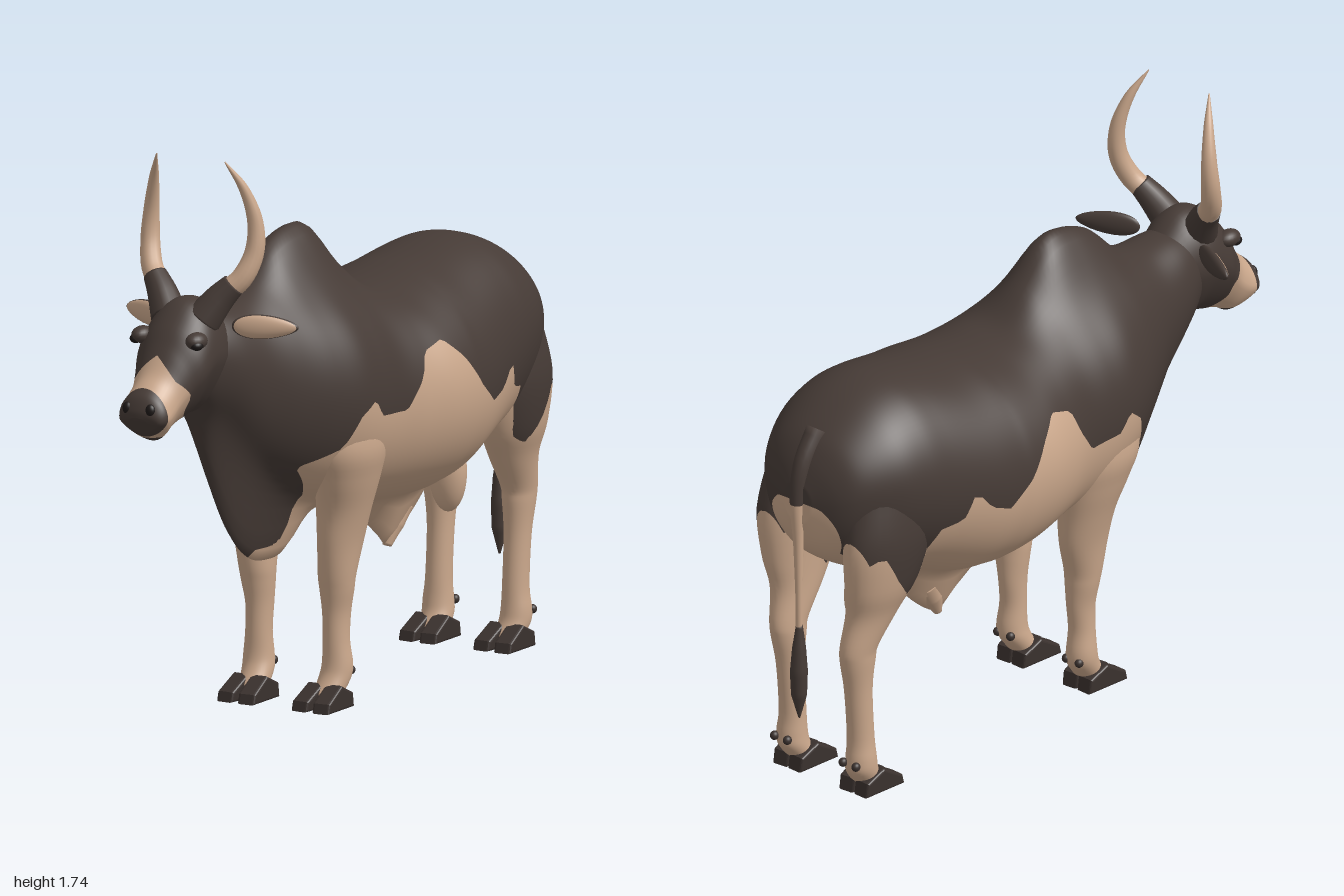
import * as THREE from 'three';

const mat = (name, color) => Object.assign(new THREE.MeshStandardMaterial({ color }), { name });
const V = (x, y, z) => new THREE.Vector3(x, y, z);

// Catmull-Rom smoothing of rows of numbers
function smooth(rows, steps) {
  const out = [], at = i => rows[Math.max(0, Math.min(rows.length - 1, i))];
  for (let i = 0; i < rows.length - 1; i++)
    for (let k = 0; k < steps; k++) {
      const t = k / steps, a = at(i - 1), b = at(i), c = at(i + 1), d = at(i + 2);
      out.push(b.map((_, j) => b[j] + 0.5 * t * (c[j] - a[j] +
        t * (2 * a[j] - 5 * b[j] + 4 * c[j] - d[j] + t * (3 * (b[j] - c[j]) + d[j] - a[j])))));
    }
  out.push(at(rows.length - 1));
  return out;
}

// Closed skin over a list of rings, with a fan at each end
function loft(rings) {
  const n = rings[0].length, pts = rings.flat(), idx = [];
  for (let i = 0; i < rings.length - 1; i++)
    for (let j = 0; j < n; j++) {
      const a = i * n + j, b = i * n + (j + 1) % n, c = a + n, d = b + n;
      idx.push(a, b, c, b, d, c);
    }
  [0, rings.length - 1].forEach((r, end) => {
    const mid = V(0, 0, 0);
    rings[r].forEach(p => mid.addScaledVector(p, 1 / n));
    const m = pts.push(mid) - 1;
    for (let j = 0; j < n; j++) {
      const a = r * n + j, b = r * n + (j + 1) % n;
      idx.push(...(end ? [a, b, m] : [b, a, m]));
    }
  });
  const g = new THREE.BufferGeometry().setFromPoints(pts);
  g.setIndex(idx);
  g.computeVertexNormals();
  return g;
}

const ring = (n, f) => Array.from({ length: n }, (_, j) => {
  const a = j / n * Math.PI * 2;
  return f(Math.cos(a), Math.sin(a));
});

// Tapered tube along a curve
function taper(points, radii, n = 14, steps = 28) {
  const curve = new THREE.CatmullRomCurve3(points), fr = curve.computeFrenetFrames(steps);
  return loft(Array.from({ length: steps + 1 }, (_, i) => {
    const p = curve.getPointAt(i / steps), q = i / steps * (radii.length - 1);
    const k = Math.min(Math.floor(q), radii.length - 2);
    const r = THREE.MathUtils.lerp(radii[k], radii[k + 1], q - k);
    return ring(n, (c, s) => p.clone().addScaledVector(fr.normals[i], r * c).addScaledVector(fr.binormals[i], r * s));
  }));
}

// Cuts every triangle along rule = 0: group 0 where positive, group 1 where negative
function paint(geo, rule) {
  const P = geo.attributes.position, N = geo.attributes.normal, I = geo.index;
  const sides = [[], []];
  for (let t = 0; t < I.count; t += 3) {
    const tri = [0, 1, 2].map(k => {
      const i = I.getX(t + k), p = V().fromBufferAttribute(P, i);
      return { p, n: V().fromBufferAttribute(N, i), f: rule(p.x, p.y, p.z) };
    });
    [1, -1].forEach((sgn, side) => {
      const poly = [];
      tri.forEach((a, k) => {
        const b = tri[(k + 1) % 3], ina = a.f * sgn > 0 || (a.f === 0 && side === 0);
        const inb = b.f * sgn > 0 || (b.f === 0 && side === 0);
        if (ina) poly.push(a);
        if (ina !== inb) {
          const u = a.f / (a.f - b.f);
          poly.push({ p: a.p.clone().lerp(b.p, u), n: a.n.clone().lerp(b.n, u).normalize() });
        }
      });
      for (let k = 1; k + 1 < poly.length; k++) sides[side].push(poly[0], poly[k], poly[k + 1]);
    });
  }
  const all = [...sides[0], ...sides[1]], g = new THREE.BufferGeometry();
  g.setAttribute('position', new THREE.Float32BufferAttribute(all.flatMap(v => v.p.toArray()), 3));
  g.setAttribute('normal', new THREE.Float32BufferAttribute(all.flatMap(v => v.n.toArray()), 3));
  g.addGroup(0, sides[0].length, 0);
  g.addGroup(sides[0].length, sides[1].length, 1);
  return g;
}

// Mirror across x, keeping faces outward
function mirror(geo) {
  const g = geo.index ? geo.toNonIndexed() : geo.clone();
  g.scale(-1, 1, 1);
  for (const key of ['position', 'normal']) {
    const a = g.attributes[key];
    for (let i = 0; i < a.count; i += 3) {
      const u = V().fromBufferAttribute(a, i), w = V().fromBufferAttribute(a, i + 2);
      a.setXYZ(i, w.x, w.y, w.z);
      a.setXYZ(i + 2, u.x, u.y, u.z);
    }
  }
  return g;
}

// Lower edge of the dark coat, as [z, y]
const edge = [[-1, 0.98], [-0.97, 0.96], [-0.905, 0.79], [-0.875, 0.83], [-0.81, 0.72], [-0.75, 0.65], [-0.70, 0.68],
  [-0.68, 0.75], [-0.66, 0.845], [-0.58, 0.86], [-0.545, 0.945], [-0.485, 0.875], [-0.415, 0.85], [-0.335, 0.915],
  [-0.26, 1.01], [-0.19, 1.07], [-0.105, 1.045], [-0.075, 0.97], [-0.01, 0.885], [0.12, 0.89], [0.16, 0.945],
  [0.22, 0.9], [0.26, 0.81], [0.365, 0.76], [0.4, 0.47], [0.45, 0.52], [0.5, 0.6], [0.6, 0.72], [0.66, 0.72], [1, 0.5]];
function coat(x, y, z) {
  let i = 0;
  while (i < edge.length - 2 && edge[i + 1][0] < z) i++;
  const [z0, y0] = edge[i], [z1, y1] = edge[i + 1];
  return y - (y0 + (y1 - y0) * (z - z0) / (z1 - z0));
}
const bodyCoat = (x, y, z) => Math.max(coat(x, y, z), Math.min(0.65 + (z - 0.25) * 0.95 - y, z - 0.25, y - 0.5));

export function createModel() {
  const model = new THREE.Group();
  model.name = 'bull';
  const dark = mat('darkCoat', 0x463b36), tan = mat('tanCoat', 0xcba88c);
  const hoofMat = mat('hoof', 0x3a312e), black = mat('eyeBlack', 0x1e1918);
  const two = [dark, tan];
  const add = (name, geo, m) => {
    const mesh = new THREE.Mesh(geo, m);
    mesh.name = name;
    model.add(mesh);
  };
  const pair = (name, geo, m) => {
    add(name + 'Left', geo, m);
    add(name + 'Right', mirror(geo), m);
  };

  // Trunk: z, top, bottom, half width, height of widest point, hump, hanging skin
  const trunk = smooth([
    [-0.98, 1.02, 0.9, 0.05, 0.97, 0, 0], [-0.95, 1.1, 0.82, 0.14, 0.98, 0, 0], [-0.9, 1.17, 0.76, 0.2, 1, 0, 0],
    [-0.8, 1.24, 0.7, 0.26, 1, 0, 0], [-0.7, 1.275, 0.66, 0.29, 0.98, 0, 0], [-0.6, 1.275, 0.63, 0.31, 0.95, 0, 0.05],
    [-0.45, 1.25, 0.57, 0.34, 0.91, 0, 0.13], [-0.36, 1.24, 0.555, 0.35, 0.9, 0, 0.165], [-0.3, 1.23, 0.55, 0.355, 0.9, 0, 0.12],
    [-0.2, 1.22, 0.555, 0.35, 0.9, 0, 0.05], [-0.1, 1.235, 0.565, 0.325, 0.9, 0, 0], [0, 1.255, 0.575, 0.3, 0.92, 0.075, 0],
    [0.1, 1.27, 0.59, 0.3, 0.93, 0.165, 0.02], [0.2, 1.28, 0.62, 0.295, 0.95, 0.16, 0.15], [0.3, 1.28, 0.66, 0.26, 0.97, 0.12, 0.205],
    [0.4, 1.28, 0.72, 0.21, 1, 0.03, 0.24], [0.5, 1.27, 0.8, 0.165, 1.05, 0, 0.23], [0.62, 1.27, 0.92, 0.135, 1.1, 0, 0.14],
    [0.7, 1.26, 0.98, 0.1, 1.13, 0, 0], [0.75, 1.22, 1.04, 0.06, 1.13, 0, 0]], 6);
  add('body', paint(loft(trunk.map(([z, top, low, w, mid, hump, skin]) => ring(96, (c, s) => {
    const x = w * Math.sign(c) * Math.abs(c) ** 0.92;
    const y = mid + s * (s > 0 ? top - mid + hump * Math.exp(-((x / 0.11) ** 2))
      : mid - low + skin * Math.exp(-((x / 0.05) ** 2)));
    return V(x, y, z);
  }))), bodyCoat), two);

  // Head: slanted sections as top z, y, bottom z, y, half width
  const head = smooth([
    [0.6, 1.25, 0.62, 1.02, 0.09], [0.68, 1.315, 0.7, 0.975, 0.115], [0.76, 1.315, 0.745, 0.975, 0.122],
    [0.83, 1.255, 0.785, 0.965, 0.12], [0.875, 1.19, 0.825, 0.955, 0.1], [0.915, 1.125, 0.865, 0.94, 0.084],
    [0.95, 1.09, 0.9, 0.92, 0.082], [0.982, 1.062, 0.93, 0.925, 0.084], [0.998, 1.025, 0.965, 0.945, 0.068],
    [1, 1, 0.985, 0.975, 0.03]], 6);
  const muzzle = (x, y, z) => -Math.min(
    z - 0.845 - Math.max(0, y - 1.05) + 0.08 * Math.max(0, 1 - Math.abs(x) / 0.07), 0.957 - z, y - 0.935);
  add('head', paint(loft(head.map(([zt, yt, zb, yb, w]) => ring(48, (c, s) => V(
    w * c * (1 - 0.3 * Math.max(0, -s)), (yt + yb) / 2 + s * (yt - yb) / 2, (zt + zb) / 2 + s * (zt - zb) / 2)))), muzzle), two);

  const ball = (x, y, z, rx, ry, rz) => new THREE.SphereGeometry(1, 20, 14).scale(rx, ry, rz).translate(x, y, z);
  pair('brow', ball(0.095, 1.213, 0.82, 0.03, 0.026, 0.04), dark);
  pair('eye', ball(0.107, 1.203, 0.836, 0.018, 0.015, 0.022), black);
  pair('nostril', ball(0.04, 1.025, 0.985, 0.016, 0.02, 0.014), black);

  // Horns and their dark stumps
  pair('hornStump', taper([V(0.06, 1.26, 0.73), V(0.1, 1.32, 0.705), V(0.138, 1.365, 0.685)], [0.055, 0.046, 0.036]), dark);
  pair('horn', taper([V(0.115, 1.34, 0.695), V(0.158, 1.385, 0.67), V(0.183, 1.46, 0.642), V(0.182, 1.55, 0.636),
    V(0.158, 1.65, 0.66), V(0.12, 1.735, 0.705)], [0.034, 0.032, 0.028, 0.022, 0.014, 0.002]), tan);

  // Ears: flat leaves, tan in front and dark behind
  const leaf = new THREE.SphereGeometry(1, 28, 20), lp = leaf.attributes.position;
  for (let i = 0; i < lp.count; i++) lp.setY(i, lp.getY(i) * (1 - 0.25 * lp.getX(i)));
  leaf.scale(0.1, 0.036, 0.018);
  leaf.computeVertexNormals();
  const ear = paint(leaf, (x, y, z) => 0.006 - z);
  pair('ear', ear.rotateY(0.42).translate(0.21, 1.235, 0.625), two);

  // Legs, top to bottom: y, centre x, centre z, radius x, radius z
  const front = [[0.95, 0.17, 0.14, 0.09, 0.14], [0.8, 0.185, 0.14, 0.1, 0.15], [0.7, 0.18, 0.13, 0.085, 0.125],
    [0.6, 0.16, 0.12, 0.075, 0.1], [0.5, 0.148, 0.12, 0.062, 0.086], [0.4, 0.14, 0.127, 0.055, 0.063],
    [0.35, 0.138, 0.125, 0.05, 0.055], [0.28, 0.135, 0.122, 0.041, 0.047], [0.2, 0.136, 0.125, 0.04, 0.042],
    [0.13, 0.138, 0.122, 0.046, 0.047], [0.09, 0.135, 0.13, 0.048, 0.05], [0.045, 0.13, 0.16, 0.045, 0.048]];
  const hind = [[1, 0.15, -0.76, 0.1, 0.14], [0.85, 0.17, -0.77, 0.1, 0.165], [0.7, 0.165, -0.79, 0.085, 0.135],
    [0.6, 0.15, -0.815, 0.065, 0.095], [0.5, 0.14, -0.86, 0.05, 0.068], [0.45, 0.137, -0.865, 0.047, 0.06],
    [0.35, 0.135, -0.86, 0.04, 0.045], [0.2, 0.135, -0.85, 0.04, 0.042], [0.13, 0.137, -0.85, 0.046, 0.047],
    [0.09, 0.135, -0.845, 0.048, 0.05], [0.05, 0.13, -0.82, 0.045, 0.048]];
  const side = new THREE.Shape([[-0.055, 0.008], [0.085, 0.008], [0.08, 0.026], [0.01, 0.066], [-0.05, 0.04]]
    .map(p => new THREE.Vector2(...p)));
  const claw = new THREE.ExtrudeGeometry(side, { depth: 0.042, bevelSize: 0.008, bevelThickness: 0.008, bevelSegments: 3 });
  claw.translate(0, 0, -0.021).rotateY(-Math.PI / 2);

  for (const [name, rows, y, z] of [['front', front, 0, 0.17], ['hind', hind, 0.014, -0.815]]) {
    const leg = loft(smooth(rows, 5).map(([h, cx, cz, rx, rz]) => ring(32, (c, s) => V(cx + rx * c, h, cz + rz * s))));
    pair(name + 'Leg', paint(leg, coat), two);
    for (const [part, dx] of [['Inner', -0.032], ['Outer', 0.032]]) {
      pair(name + 'Hoof' + part, claw.clone().rotateY(dx * 2).translate(0.131 + dx, y, z), hoofMat);
      pair(name + 'Dewclaw' + part, ball(0.136 + dx * 0.8, 0.105 + y, z - 0.085, 0.013, 0.014, 0.014), hoofMat);
    }
  }

  // Tail with tuft
  add('tail', paint(taper([V(0, 1.17, -0.89), V(0, 1.08, -0.955), V(0, 0.98, -0.978), V(0, 0.8, -0.974), V(0, 0.5, -0.97)],
    [0.035, 0.026, 0.016, 0.011, 0.01]), (x, y) => y - 0.96), two);
  add('tailTuft', taper([V(0, 0.56, -0.97), V(0, 0.42, -0.972), V(0, 0.255, -0.97)], [0.01, 0.021, 0.027, 0.024, 0.003]), dark);

  // Scrotum and sheath tip
  add('scrotum', ball(0, 0.55, -0.69, 0.06, 0.12, 0.05), tan);
  add('sheathTip', taper([V(0, 0.5, -0.42), V(0, 0.43, -0.38), V(0, 0.385, -0.36)], [0.045, 0.035, 0.014]), tan);
  return model;
}
